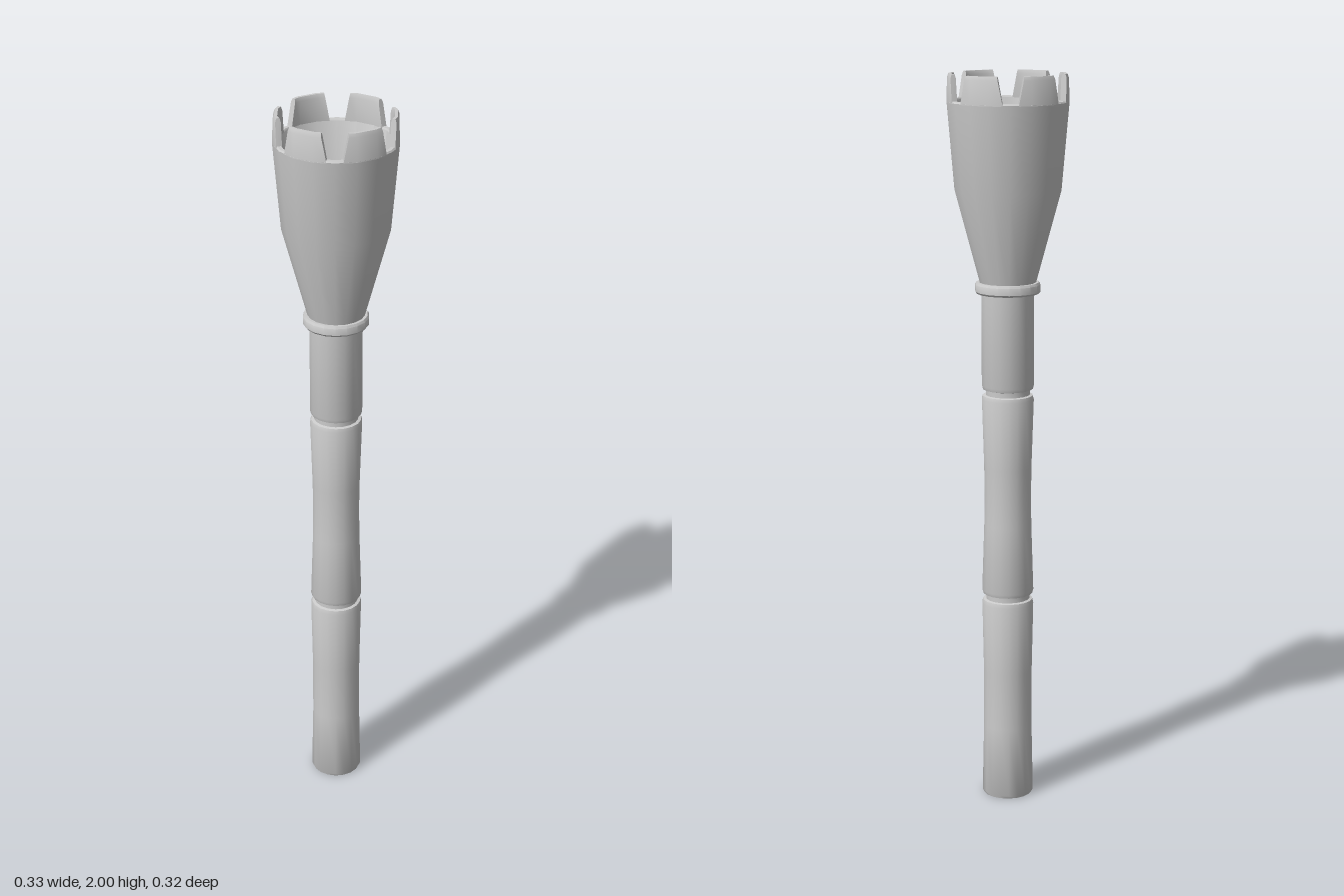
import * as THREE from 'three';
import { toCreasedNormals } from 'three/addons/utils/BufferGeometryUtils.js';

const SIDES = 18;
const STEP = (Math.PI * 2) / SIDES;
const deg = THREE.MathUtils.degToRad;
const material = new THREE.MeshStandardMaterial({ color: 0xcccccc });

function part(name, geometry, crease = 0.6) {
  const mesh = new THREE.Mesh(toCreasedNormals(geometry, crease), material);
  mesh.name = name;
  return mesh;
}

// Turned part; profile is [radius, height] pairs, corners lie on the x axis
function turned(name, profile) {
  const points = profile.map(([r, y]) => new THREE.Vector2(r, y));
  return part(name, new THREE.LatheGeometry(points, SIDES, STEP / 2));
}

// One tapered tooth of the rim, following three facets of the cup
function toothGeometry() {
  const section = [[0.163, 1.925], [0.161, 1.99], [0.157, 2], [0.149, 2], [0.146, 1.99], [0.147, 1.925]];
  const n = section.length;
  const positions = [];
  const index = [];
  for (let c = 0; c < 4; c++) {
    for (const [r, y] of section) {
      const half = deg(THREE.MathUtils.mapLinear(y, 1.925, 2, 22.5, 17));
      const a = [-half, -STEP / 2, STEP / 2, half][c];
      // Keep the points on the straight facet between polygon corners
      const offset = Math.abs(a) > STEP / 2 ? Math.abs(a) - STEP : STEP / 2;
      const d = (r * Math.cos(STEP / 2)) / Math.cos(offset);
      positions.push(d * Math.sin(a), y, d * Math.cos(a));
    }
  }
  for (let c = 0; c < 3; c++) {
    for (let i = 0; i < n; i++) {
      const j = (i + 1) % n;
      const a = c * n + i, b = c * n + j;
      index.push(a, a + n, b, b, a + n, b + n);
    }
  }
  // End caps
  for (let i = 1; i < n - 1; i++) {
    index.push(0, i, i + 1);
    index.push(3 * n, 3 * n + i + 1, 3 * n + i);
  }
  const geometry = new THREE.BufferGeometry();
  geometry.setAttribute('position', new THREE.Float32BufferAttribute(positions, 3));
  geometry.setIndex(index);
  return geometry;
}

export function createModel() {
  const torch = new THREE.Group();
  torch.name = 'torch';

  // Handle: three gently waisted grips separated by narrow grooves
  torch.add(turned('handle', [
    [0, 0], [0.067, 0], [0.071, 0.008], [0.067, 0.2], [0.067, 0.36], [0.071, 0.555], [0.068, 0.566],
    [0.06, 0.568], [0.06, 0.582], [0.068, 0.584],
    [0.071, 0.594], [0.065, 0.78], [0.064, 0.86], [0.065, 0.94], [0.071, 1.13], [0.068, 1.14],
    [0.06, 1.142], [0.06, 1.156], [0.068, 1.158],
    [0.071, 1.168], [0.071, 1.43], [0, 1.43],
  ]));

  // Collar between handle and cup
  torch.add(turned('collar', [
    [0.068, 1.419], [0.084, 1.419], [0.088, 1.424], [0.088, 1.443], [0.084, 1.449], [0.068, 1.449],
  ]));

  // Hollow flared cup
  torch.add(turned('cup', [
    [0, 1.44], [0.074, 1.44], [0.143, 1.695], [0.163, 1.927],
    [0.16, 1.931], [0.15, 1.931], [0.147, 1.927], [0.128, 1.71], [0.087, 1.56], [0, 1.56],
  ]));

  // Crown of six teeth around the rim
  const crown = new THREE.Group();
  crown.name = 'crown';
  const geometry = toothGeometry();
  for (let i = 0; i < 6; i++) {
    const tooth = part('tooth', geometry);
    tooth.rotation.y = (i * Math.PI) / 3;
    crown.add(tooth);
  }
  torch.add(crown);
  return torch;
}
